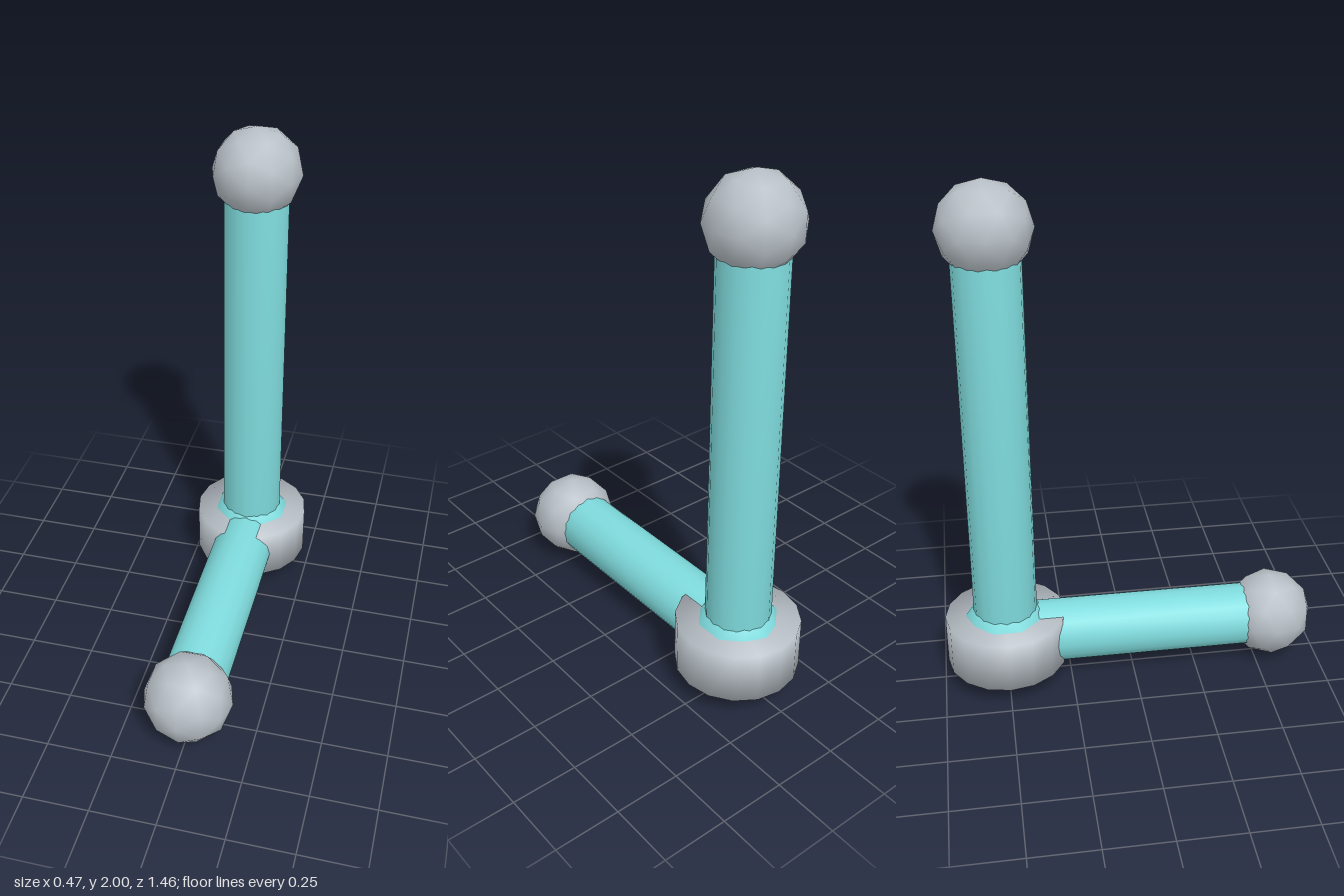
import * as THREE from 'three';
import { mergeVertices } from 'three/addons/utils/BufferGeometryUtils.js';

const Y = 0.19, BACK = -0.5, FRONT = 0.56, TOP = 1.83;

// Cylinder whose normals are smoothed over the caps as well as the sides
function softCylinder(radius, length) {
  let g = new THREE.CylinderGeometry(radius, radius, length, 16);
  g.deleteAttribute('normal');
  g.deleteAttribute('uv');
  g = mergeVertices(g);
  g.computeVertexNormals();
  return g;
}

export function createModel() {
  const group = new THREE.Group();
  const teal = new THREE.MeshStandardMaterial({ color: 0x7fdbdd });
  teal.name = 'teal';
  const gray = new THREE.MeshStandardMaterial({ color: 0xb8c0c7 });
  gray.name = 'gray';

  function add(name, geometry, material, y, z) {
    const mesh = new THREE.Mesh(geometry, material);
    mesh.name = name;
    mesh.position.set(0, y, z);
    group.add(mesh);
    return mesh;
  }

  // Two rods running from ball centre to ball centre
  add('uprightRod', softCylinder(0.123, TOP - Y), teal, (TOP + Y) / 2, BACK);
  add('levelRod', softCylinder(0.123, FRONT - BACK), teal, Y, (FRONT + BACK) / 2).rotation.x = Math.PI / 2;

  // Rounded ends and the corner joint
  add('topBall', new THREE.IcosahedronGeometry(0.171, 1), gray, TOP, BACK);
  add('frontBall', new THREE.IcosahedronGeometry(0.171, 1), gray, Y, FRONT);
  add('jointBall', new THREE.IcosahedronGeometry(0.185, 1), teal, Y, BACK);

  // Collar around the joint
  add('jointCollar', softCylinder(0.234, 0.2), gray, Y, BACK);

  return group;
}
